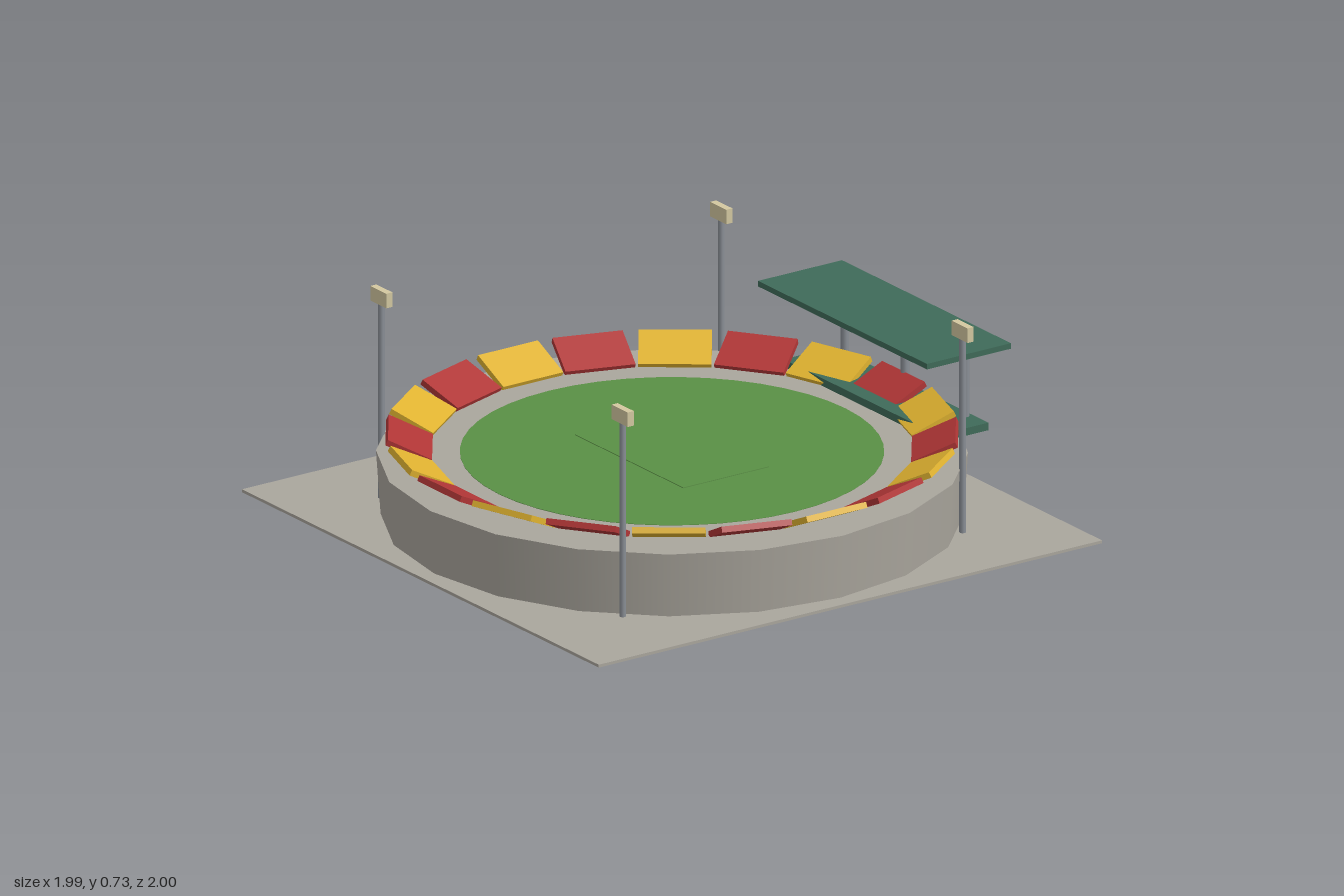
import * as THREE from 'three';

const mat = (name, color) => {
  const m = new THREE.MeshStandardMaterial({ color });
  m.name = name;
  return m;
};

export function createModel() {
  const concrete = mat('concrete', 0xaaa69d);
  const grass = mat('grass', 0x5a9045);
  const red = mat('red seats', 0xb03636);
  const yellow = mat('yellow seats', 0xdfb230);
  const green = mat('green stand', 0x3f6b59);
  const steel = mat('steel', 0x8a8f96);
  const lamp = mat('lamp', 0xd3c8a0);

  const model = new THREE.Group();
  model.name = 'stadium';
  const add = (name, geometry, material, x, y, z, parent = model) => {
    const mesh = new THREE.Mesh(geometry, material);
    mesh.name = name;
    mesh.position.set(x, y, z);
    parent.add(mesh);
    return mesh;
  };
  const CZ = 0.006; // the arena sits slightly forward of the roof's overhang

  // Ground slab and slightly flared bowl
  add('ground', new THREE.BoxGeometry(1.99, 0.01, 1.99), concrete, 0, 0.005, CZ);
  add('bowl', new THREE.CylinderGeometry(0.955, 0.94, 0.218, 20), concrete, 0, 0.119, CZ);

  // Round field with a central rectangular pitch
  add('field', new THREE.CylinderGeometry(0.685, 0.685, 0.004, 48), grass, 0, 0.2275, CZ);
  add('pitch', new THREE.BoxGeometry(0.605, 0.006, 0.34), grass, 0, 0.229, CZ);

  // Ring of banked seating blocks in alternating colours
  const seatGeometry = new THREE.BoxGeometry(0.237, 0.02, 0.157);
  for (let i = 0; i < 20; i++) {
    const block = new THREE.Group();
    block.name = 'seatBlock' + (i + 1);
    block.position.z = CZ;
    block.rotation.y = (i * Math.PI) / 10;
    const seats = add('seats', seatGeometry, i % 2 ? yellow : red, 0, 0.265, 0.848, block);
    seats.rotation.x = -0.436;
    model.add(block);
  }

  // Rear grandstand: deck, columns and flat roof
  add('standDeck', new THREE.BoxGeometry(0.86, 0.026, 0.2), green, 0, 0.241, -0.84);
  for (const x of [-0.335, 0, 0.335]) {
    add('roofColumn', new THREE.CylinderGeometry(0.014, 0.014, 0.25, 10), steel, x, 0.366, -0.915);
  }
  add('standRoof', new THREE.BoxGeometry(0.942, 0.019, 0.332), green, 0, 0.5175, -0.834);

  // Four floodlight masts
  for (const x of [-0.673, 0.673]) {
    for (const z of [-0.672, 0.672]) {
      add('lightMast', new THREE.CylinderGeometry(0.011, 0.011, 0.68, 10), steel, x, 0.34, z + CZ);
      add('floodlight', new THREE.BoxGeometry(0.09, 0.05, 0.024), lamp, x, 0.702, z + CZ);
    }
  }
  return model;
}
